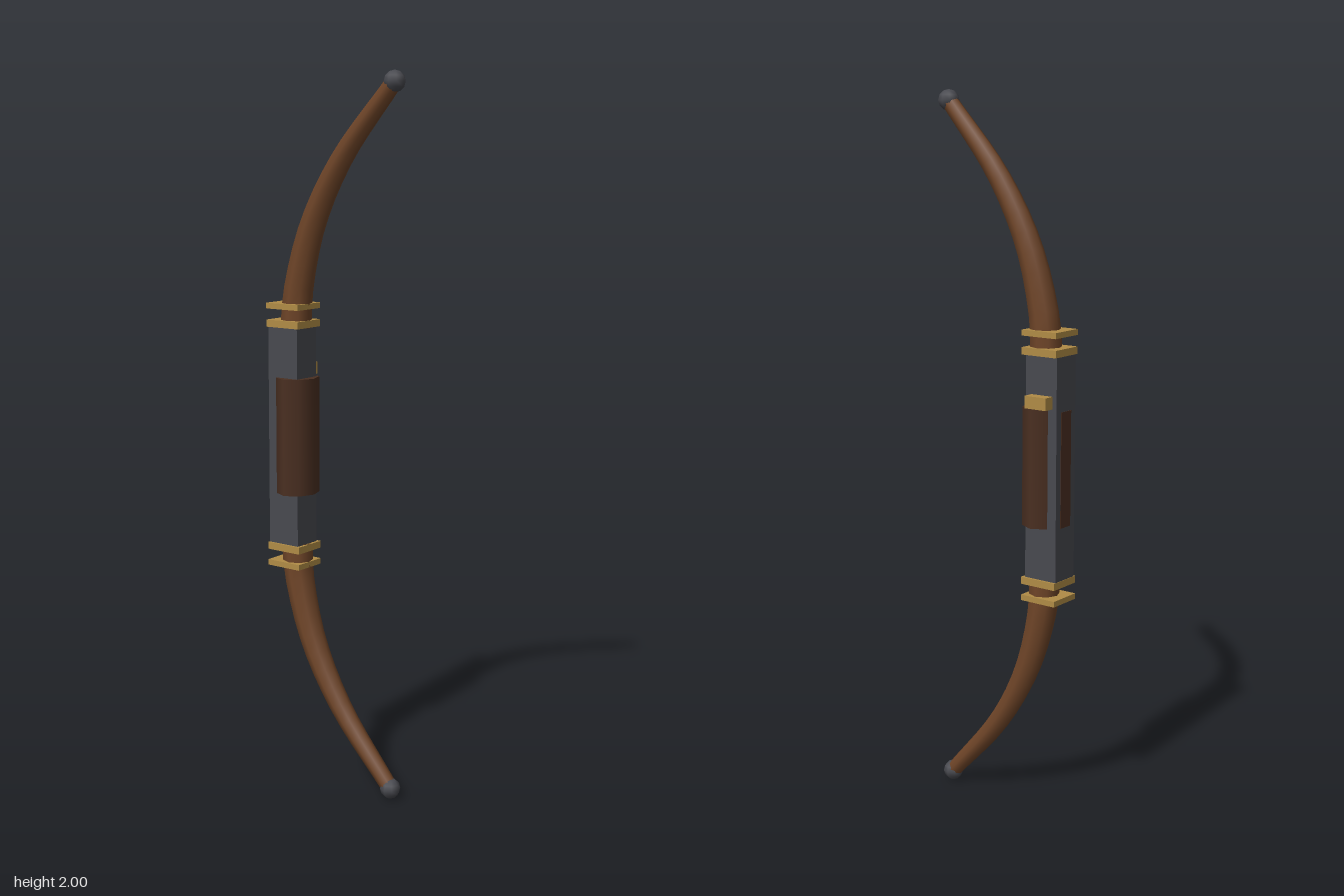
import * as THREE from 'three';

const CX = -0.004; // centre line of the bow
const mat = (color) => new THREE.MeshStandardMaterial({ color });

export function createModel() {
  const bow = new THREE.Group();
  bow.name = 'bow';
  const wood = mat(0x6f4528), leather = mat(0x4a2f21), brass = mat(0xb08c46), steel = mat(0x48494f);

  const add = (name, geometry, material, x, y, z) => {
    const mesh = new THREE.Mesh(geometry, material);
    mesh.name = name;
    mesh.position.set(x, y, z);
    bow.add(mesh);
    return mesh;
  };
  const box = (name, material, w, h, d, x, y, z) =>
    add(name, new THREE.BoxGeometry(w, h, d), material, x, y, z);

  // Eight-sided tube that narrows along its path
  const taperedTube = (curve, r0, r1, segments = 14, sides = 8) => {
    const geometry = new THREE.TubeGeometry(curve, segments, 1, sides);
    const pos = geometry.attributes.position;
    const v = new THREE.Vector3();
    for (let i = 0; i < pos.count; i++) {
      const t = Math.floor(i / (sides + 1)) / segments;
      const c = curve.getPointAt(t);
      v.fromBufferAttribute(pos, i).sub(c).multiplyScalar(r0 + (r1 - r0) * t).add(c);
      pos.setXYZ(i, v.x, v.y, v.z);
    }
    return geometry;
  };

  // Riser with the inlay on its back
  box('riser', steel, 0.086, 0.65, 0.102, CX, 1, -0.163);
  box('backInlay', leather, 0.045, 0.32, 0.01, CX, 1, -0.2105);

  // Leather grip, an oval octagon
  const grip = new THREE.CylinderGeometry(1, 1, 0.33, 8);
  grip.scale(0.066, 1, 0.057);
  add('grip', grip, leather, CX, 1.003, -0.144);

  // Arrow rest on the left side
  box('arrowRest', brass, 0.05, 0.034, 0.069, 0.045, 1.187, -0.166);

  // Limbs, tips and bands, mirrored above and below the grip
  const path = [[0.31, -0.148], [0.4, -0.142], [0.59, -0.09], [0.77, 0.01], [0.971, 0.183]];
  for (const [side, s] of [['upper', 1], ['lower', -1]]) {
    const curve = new THREE.CatmullRomCurve3(path.map(([y, z]) => new THREE.Vector3(0, s * y, z)));
    add(side + 'Limb', taperedTube(curve, 0.044, 0.023), wood, CX, 1, 0);
    add(side + 'Tip', new THREE.SphereGeometry(0.029, 8, 6), steel, CX, 1 + s * 0.971, 0.183);
    box(side + 'InnerBand', brass, 0.1, 0.02, 0.112, CX, 1 + s * 0.319, -0.159);
    box(side + 'OuterBand', brass, 0.1, 0.016, 0.112, CX, 1 + s * 0.368, -0.159);
  }
  return bow;
}
